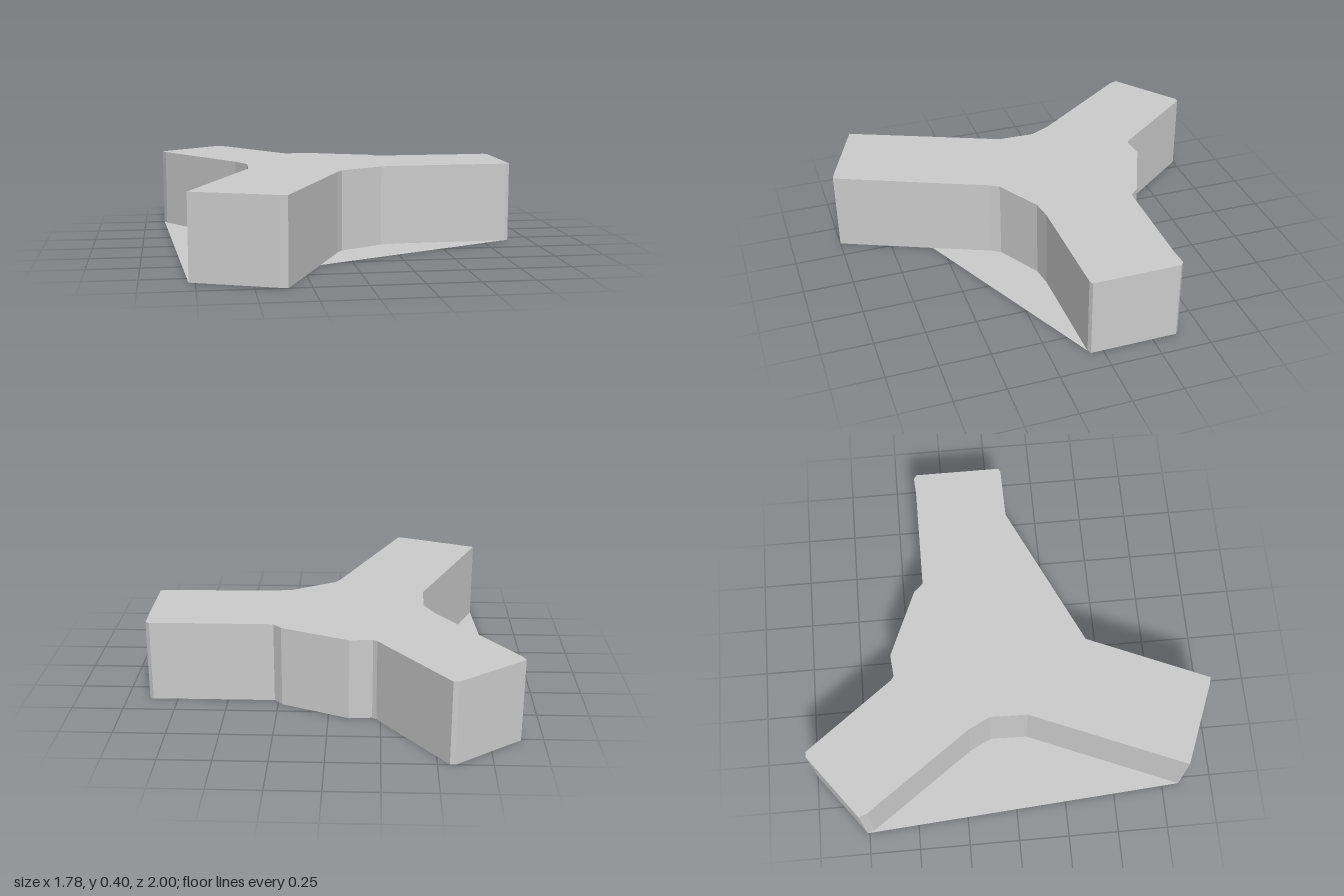
import * as THREE from 'three';

const HEIGHT = 0.404;

// Plan shape from [x, z] corners; laid flat by rotating about x
const plan = (points) => new THREE.Shape(points.map(([x, z]) => new THREE.Vector2(x, -z)));

export function createModel() {
  const group = new THREE.Group();
  group.name = 'threeArmedBlock';
  const material = new THREE.MeshStandardMaterial({ color: 0xcccccc, side: THREE.DoubleSide });

  const add = (name, geometry) => {
    geometry.rotateX(-Math.PI / 2);
    const mesh = new THREE.Mesh(geometry, material);
    mesh.name = name;
    group.add(mesh);
  };

  // Inner corners shared by the block and the webs beneath it
  const frontInner = [[0.87, 0.07], [0.31, 0.08], [0.21, 0.095], [-0.01, 0.22], [-0.04, 0.27], [-0.16, 0.55]];
  const sideInner = [[-0.78, 0.835], [-0.465, 0.085], [-0.46, -0.1], [-0.515, -0.21], [-0.88, -0.72], [-0.895, -0.76]];

  // Upright block with three arms
  add('armBlock', new THREE.ExtrudeGeometry(plan([
    [-0.58, -1], [-0.555, -1], [-0.23, -0.57], [-0.21, -0.555], [-0.1, -0.565], // back arm
    [0.23, -0.425], [0.27, -0.38], [0.78, -0.38], [0.87, -0.386], [0.89, -0.37], [0.89, 0.06], // left arm
    ...frontInner,
    [-0.355, 1], [-0.39, 0.99], // front arm
    ...sideInner,
  ]), { depth: HEIGHT, bevelEnabled: false }));

  // Thin webs closing two of the hollows between the arms at ground level
  add('frontWeb', new THREE.ShapeGeometry(plan([[0.89, 0.06], ...frontInner])));
  add('sideWeb', new THREE.ShapeGeometry(plan(sideInner)));

  return group;
}
